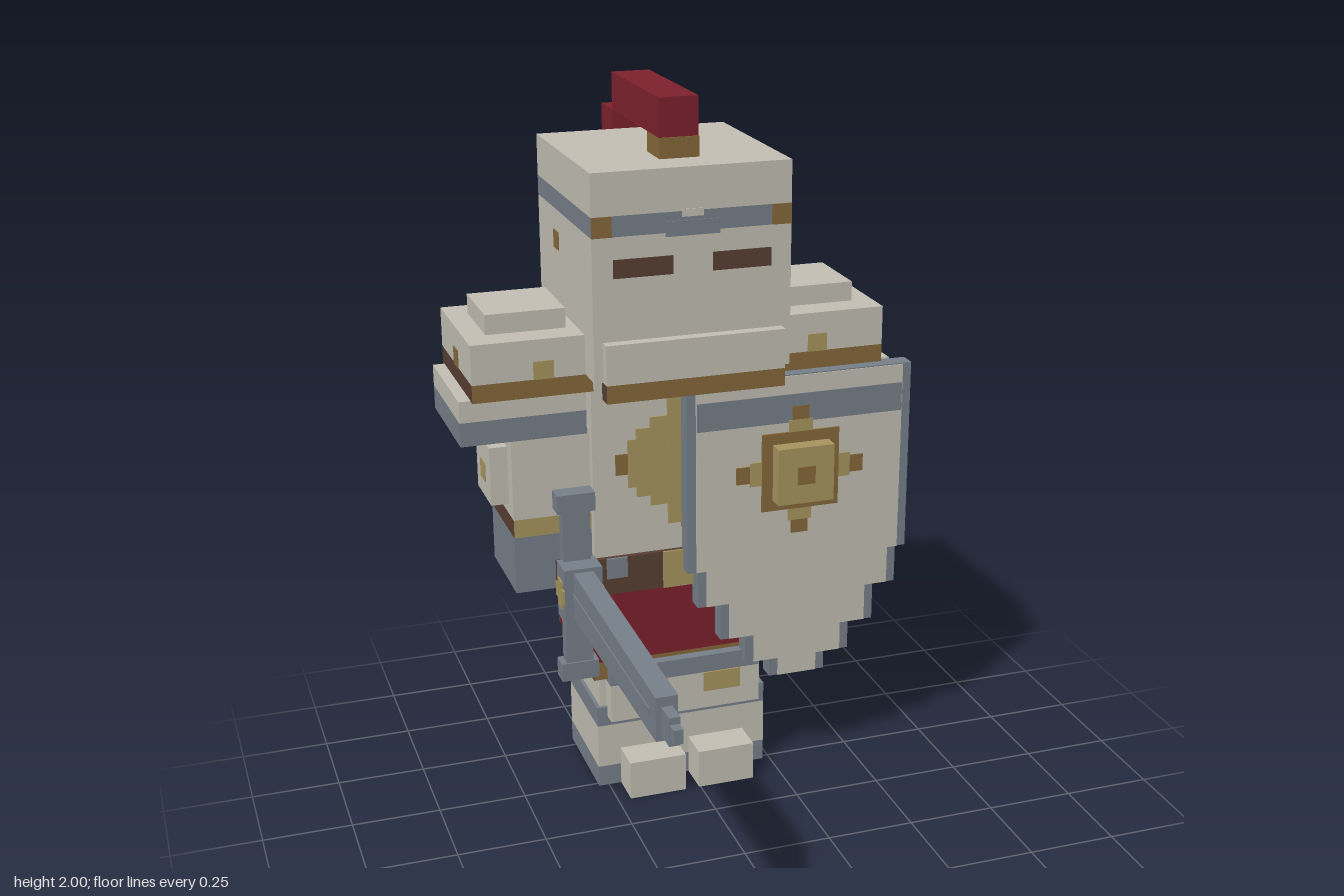
import * as THREE from 'three';

const mat = (name, color) => {
  const m = new THREE.MeshStandardMaterial({ color });
  m.name = name;
  return m;
};

export function createModel() {
  const cream = mat('cream plate', 0xc4c0b4), gold = mat('gold', 0xa8955f), bronze = mat('dark gold', 0x86693a);
  const brown = mat('brown leather', 0x583f33), red = mat('red cloth', 0x7d212d), steel = mat('steel', 0x78808a);
  const trim = [brown, brown, bronze, bronze, bronze, bronze]; // leather at the sides, gilt front and back
  const model = new THREE.Group();
  const MID = -0.025; // symmetry plane of the figure

  const group = (name) => {
    const g = new THREE.Group();
    g.name = name;
    model.add(g);
    return g;
  };
  // Box from its limits: [x0, x1], [y0, y1], [z0, z1]
  const box = (parent, name, m, x, y, z) => {
    const mesh = new THREE.Mesh(new THREE.BoxGeometry(x[1] - x[0], y[1] - y[0], z[1] - z[0]), m);
    mesh.position.set((x[0] + x[1]) / 2, (y[0] + y[1]) / 2, (z[0] + z[1]) / 2);
    mesh.name = name;
    parent.add(mesh);
    return mesh;
  };
  // Bands piled up on one footprint
  const stack = (parent, name, x, z, ys, mats) =>
    mats.forEach((m, i) => box(parent, name, m, x, [ys[i], ys[i + 1]], z));
  // Limits at distances a..b from the symmetry plane, on side s
  const side = (s, a, b) => (s > 0 ? [MID + a, MID + b] : [MID - b, MID - a]);

  // Helmet with banded brow, eye slits and crest
  const head = group('helmet');
  stack(head, 'helmet', [-0.3, 0.25], [-0.665, -0.11], [1.28, 1.67, 1.725, 1.84], [cream, steel, cream]);
  box(head, 'browRidge', steel, [-0.1, 0.05], [1.66, 1.7], [-0.114, -0.107]);
  box(head, 'browNotch', cream, [-0.055, 0.005], [1.71, 1.73], [-0.114, -0.107]);
  for (const s of [-1, 1]) {
    box(head, 'browCorner', bronze, side(s, 0.22, 0.275), [1.67, 1.725], [-0.114, -0.107]);
    box(head, 'eye', brown, side(s, 0.055, 0.218), [1.56, 1.61], [-0.114, -0.107]);
    box(head, 'rivet', bronze, side(s, 0.271, 0.278), [1.56, 1.61], [-0.495, -0.445]);
  }
  box(head, 'crestSupport', bronze, [-0.08, 0.03], [1.84, 1.895], [-0.33, -0.22]);
  box(head, 'crestTop', red, [-0.08, 0.03], [1.895, 2], [-0.665, -0.225]);
  box(head, 'crestTail', red, [-0.08, 0.03], [1.56, 1.895], [-0.775, -0.665]);
  stack(head, 'neckGuard', [-0.275, 0.225], [-0.125, -0.078], [1.23, 1.28, 1.39], [trim, cream]);

  // Torso, belt, skirt and cape
  const body = group('body');
  box(body, 'torso', cream, [-0.28, 0.23], [0.7, 1.28], [-0.55, -0.225]);
  box(body, 'belt', brown, [-0.305, 0.255], [0.62, 0.73], [-0.578, -0.21]);
  box(body, 'buckle', gold, [-0.085, 0.035], [0.62, 0.73], [-0.212, -0.205]);
  for (const s of [-1, 1]) box(body, 'beltPlate', steel, side(s, 0.165, 0.225), [0.67, 0.73], [-0.212, -0.205]);
  stack(body, 'skirt', [-0.29, 0.24], [-0.545, -0.225], [0.35, 0.405, 0.63], [trim, red]);
  box(body, 'cape', red, [-0.29, 0.24], [0.365, 1.28], [-0.613, -0.56]);
  box(body, 'capeTrim', bronze, [-0.29, 0.24], [0.365, 0.41], [-0.617, -0.611]);

  // Sun emblem on the chest: rows of stepped half widths
  for (const [w, h, m] of [[0.19, 0.03, bronze], [0.155, 0.07, gold], [0.13, 0.1, gold], [0.09, 0.13, gold], [0.04, 0.19, gold]])
    box(body, 'chestSun', m, [MID - w, MID + w], [1 - h, 1 + h], [-0.228, -0.219 + h * 0.004 - w * 0.01]);

  // Legs, knee plate and boots
  const legs = group('legs');
  box(legs, 'thighs', cream, [-0.27, 0.22], [0.25, 0.36], [-0.525, -0.245]);
  stack(legs, 'kneePlate', [-0.25, 0.2], [-0.25, -0.195], [0.225, 0.34, 0.393], [cream, steel]);
  stack(legs, 'boots', [-0.28, 0.23], [-0.54, -0.235], [0, 0.063, 0.195, 0.255], [steel, cream, steel]);
  for (const s of [-1, 1]) {
    box(legs, 'kneeBadge', gold, side(s, 0.055, 0.165), [0.28, 0.34], [-0.197, -0.19]);
    box(legs, 'toe', cream, side(s, 0.02, 0.188), [0, 0.115], [-0.235, -0.135]);
  }

  // Arms with layered shoulder armour
  for (const s of [-1, 1]) {
    const arm = group(s > 0 ? 'leftArm' : 'rightArm');
    stack(arm, 'arm', side(s, 0.255, 0.475), [-0.525, -0.25], [0.645, 0.81, 0.863, 1.11],
      [steel, [brown, brown, gold, gold, gold, gold], cream]);
    box(arm, 'elbowGuard', cream, side(s, 0.475, 0.525), [0.895, 1.063], [-0.468, -0.3]);
    box(arm, 'elbowStud', gold, side(s, 0.521, 0.528), [0.945, 1], [-0.412, -0.358]);
    stack(arm, 'shoulderSkirt', side(s, 0.27, 0.618), [-0.565, -0.218], [1.105, 1.172, 1.232], [steel, cream]);
    stack(arm, 'shoulderPlate', side(s, 0.255, 0.585), [-0.583, -0.197], [1.23, 1.28, 1.39], [trim, cream]);
    box(arm, 'shoulderCap', cream, side(s, 0.305, 0.525), [1.39, 1.445], [-0.503, -0.28]);
    for (const z of [-0.586, -0.2]) box(arm, 'shoulderStud', gold, side(s, 0.362, 0.418), [1.28, 1.33], [z, z + 0.006]);
    box(arm, 'shoulderStud', bronze, side(s, 0.582, 0.588), [1.28, 1.33], [-0.41, -0.36]);
  }

  // Sword pointing forward from the right hand
  const sword = group('sword');
  const SX = -0.358;
  const around = (h) => [SX - h, SX + h];
  const blade = box(sword, 'blade', steel, around(0.028), [0.635, 0.77], [-0.06, 0.69]);
  const p = blade.geometry.attributes.position;
  for (let i = 0; i < p.count; i++) if (p.getZ(i) > 0) p.setY(i, p.getY(i) * 0.86);
  box(sword, 'bladeRidge', steel, around(0.031), [0.69, 0.71], [-0.055, 0.64]);
  box(sword, 'bladeTip', steel, around(0.014), [0.66, 0.735], [0.69, 0.75]);
  box(sword, 'bladePoint', steel, around(0.012), [0.68, 0.717], [0.75, 0.78]);
  box(sword, 'guardBlock', steel, around(0.053), [0.62, 0.78], [-0.135, -0.055]);
  for (const d of [-0.055, 0.055])
    for (const [w, h] of [[0.04, 0.02], [0.02, 0.04]])
      box(sword, 'guardGem', gold, [SX + d - 0.003, SX + d + 0.003], [0.7 - h, 0.7 + h], [-0.095 - w, -0.095 + w]);
  box(sword, 'guardBar', steel, around(0.038), [0.45, 0.95], [-0.155, -0.115]);
  for (const y of [0.422, 0.922]) box(sword, 'guardEnd', steel, around(0.053), [y, y + 0.053], [-0.163, -0.11]);
  box(sword, 'grip', brown, around(0.028), [0.67, 0.73], [-0.54, -0.13]);
  box(sword, 'pommel', steel, around(0.05), [0.64, 0.755], [-0.6, -0.525]);

  // Shield with stepped lower edge, steel rim and leather back
  const shield = group('shield');
  const CX = 0.307;
  const steps = [[0.333, 0.67], [0.303, 0.56], [0.235, 0.45], [0.16, 0.365], [0.085, 0.31]];
  const outline = (inset, top) => {
    const pts = [];
    steps.forEach(([w, y], i) => {
      pts.push([w - inset, i ? steps[i - 1][1] : top], [w - inset, y]);
    });
    const left = pts.map(([x, y]) => [-x, y]).reverse();
    return new THREE.Shape([...left, ...pts].map(([x, y]) => new THREE.Vector2(CX + x, y)));
  };
  const slab = (name, m, inset, top, z, depth) => {
    const geo = new THREE.ExtrudeGeometry(outline(inset, top), { depth, bevelEnabled: false });
    const mesh = new THREE.Mesh(geo, m);
    mesh.position.z = z;
    mesh.name = name;
    shield.add(mesh);
  };
  slab('shieldRim', steel, 0, 1.228, -0.218, 0.05);
  slab('shieldBack', brown, 0.001, 1.226, -0.222, 0.005);
  slab('shieldFace', cream, 0.026, 1.225, -0.17, 0.005);
  box(shield, 'shieldBand', steel, [CX - 0.305, CX + 0.305], [1.09, 1.172], [-0.17, -0.163]);
  box(shield, 'shieldGrip', steel, [0.245, 0.33], [0.565, 0.62], [-0.39, -0.215]);

  // Sun boss on the shield
  const SY = 0.947;
  const cross = (name, m, l, w, z) => {
    box(shield, name, m, [CX - l, CX + l], [SY - w, SY + w], [-0.166, z]);
    box(shield, name, m, [CX - w, CX + w], [SY - l, SY + l], [-0.166, z]);
  };
  cross('sunRayTip', bronze, 0.19, 0.025, -0.161);
  cross('sunRay', gold, 0.15, 0.035, -0.16);
  box(shield, 'sunDisc', bronze, [CX - 0.115, CX + 0.115], [SY - 0.115, SY + 0.115], [-0.166, -0.159]);
  box(shield, 'sunBoss', gold, [CX - 0.083, CX + 0.083], [SY - 0.083, SY + 0.083], [-0.16, -0.113]);
  box(shield, 'sunCentre', bronze, [CX - 0.026, CX + 0.026], [SY - 0.026, SY + 0.026], [-0.114, -0.109]);
  return model;
}
